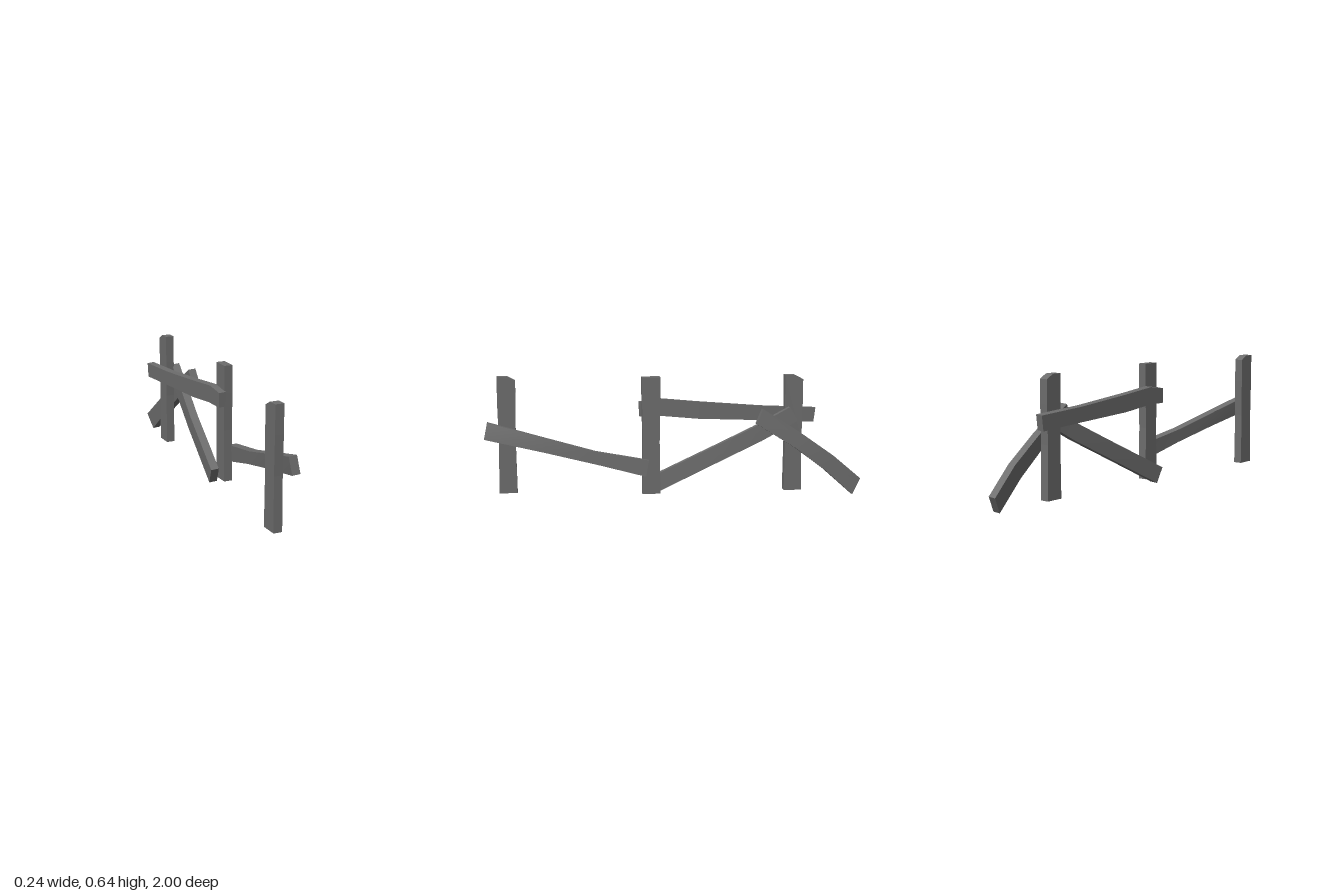
import * as THREE from 'three';
import { toCreasedNormals } from 'three/addons/utils/BufferGeometryUtils.js';

const wood = new THREE.MeshStandardMaterial({ color: 0x6c6c6c });
wood.name = 'weathered grey wood';

// Upright post: side profile with a worn waist and optional chipped rear top edge
function post(name, x, z, chipped) {
  const h = 0.048, top = 0.645;
  const profile = [[-h, 0.022], [h, 0.022], [h - 0.004, 0.3], [h, 0.5]];
  if (chipped) profile.push([h, 0.622], [0.005, top]);
  else profile.push([h, top]);
  profile.push([-h, top], [-h, 0.5], [-h + 0.004, 0.3]);
  const shape = new THREE.Shape(profile.map(([u, y]) => new THREE.Vector2(u, y)));
  const geo = new THREE.ExtrudeGeometry(shape, { depth: 0.046, bevelEnabled: false });
  geo.rotateY(Math.PI / 2).translate(x - 0.023, 0, z);
  const mesh = new THREE.Mesh(geo, wood);
  mesh.name = name;
  return mesh;
}

// Bent plank: each section gives its lower and upper left corners, front to back
function rail(name, width, sections) {
  const rings = sections.map(([bx, by, bz, tx, ty, tz]) => [
    [bx, by, bz], [bx + width, by + 0.003, bz], [tx + width, ty + 0.003, tz], [tx, ty, tz],
  ]);
  const pos = [];
  const quad = (a, b, c, d) => pos.push(...a, ...b, ...c, ...a, ...c, ...d);
  quad(...rings[0]);
  for (let s = 0; s < rings.length - 1; s++) {
    const a = rings[s], b = rings[s + 1];
    for (let i = 0; i < 4; i++) {
      const j = (i + 1) % 4;
      quad(a[i], b[i], b[j], a[j]);
    }
  }
  quad(...rings[rings.length - 1].slice().reverse());
  let geo = new THREE.BufferGeometry();
  geo.setAttribute('position', new THREE.Float32BufferAttribute(pos, 3));
  geo = toCreasedNormals(geo, 0.4);
  const mesh = new THREE.Mesh(geo, wood);
  mesh.name = name;
  return mesh;
}

export function createModel() {
  const fence = new THREE.Group();
  fence.name = 'brokenFence';

  fence.add(
    post('frontPost', -0.098, 0.88, true),
    post('middlePost', 0.01, 0.127, false),
    post('backPost', 0.01, -0.635, true),

    // Sagging rail between the front and middle posts
    rail('frontRail', 0.043, [
      [-0.068, 0.32, 1.0, -0.078, 0.408, 0.982],
      [-0.025, 0.25, 0.68, -0.032, 0.332, 0.7],
      [0.01, 0.184, 0.4, 0.008, 0.257, 0.42],
      [0.032, 0.122, 0.16, 0.03, 0.208, 0.143],
    ]),

    // Upper rail still fixed behind the posts
    rail('upperRail', 0.038, [
      [-0.048, 0.43, 0.184, -0.048, 0.508, 0.187],
      [-0.049, 0.43, 0.07, -0.049, 0.523, 0.08],
      [-0.051, 0.41, -0.13, -0.051, 0.502, -0.13],
      [-0.054, 0.395, -0.47, -0.054, 0.473, -0.47],
      [-0.056, 0.38, -0.755, -0.056, 0.458, -0.765],
    ]),

    // Rail fallen to the ground at one end
    rail('fallenRail', 0.044, [
      [-0.068, 0.004, 0.11, -0.075, 0.085, 0.148],
      [-0.02, 0.195, -0.265, -0.026, 0.27, -0.225],
      [0.01, 0.295, -0.46, 0.006, 0.37, -0.42],
      [0.033, 0.405, -0.65, 0.03, 0.477, -0.605],
    ]),

    // Loose bent rail at the back
    rail('looseRail', 0.043, [
      [0.076, 0.398, -0.42, 0.065, 0.475, -0.455],
      [0.074, 0.265, -0.63, 0.062, 0.343, -0.66],
      [0.066, 0.143, -0.79, 0.054, 0.215, -0.84],
      [0.049, 0.0, -0.95, 0.031, 0.082, -0.997],
    ]),
  );
  return fence;
}
